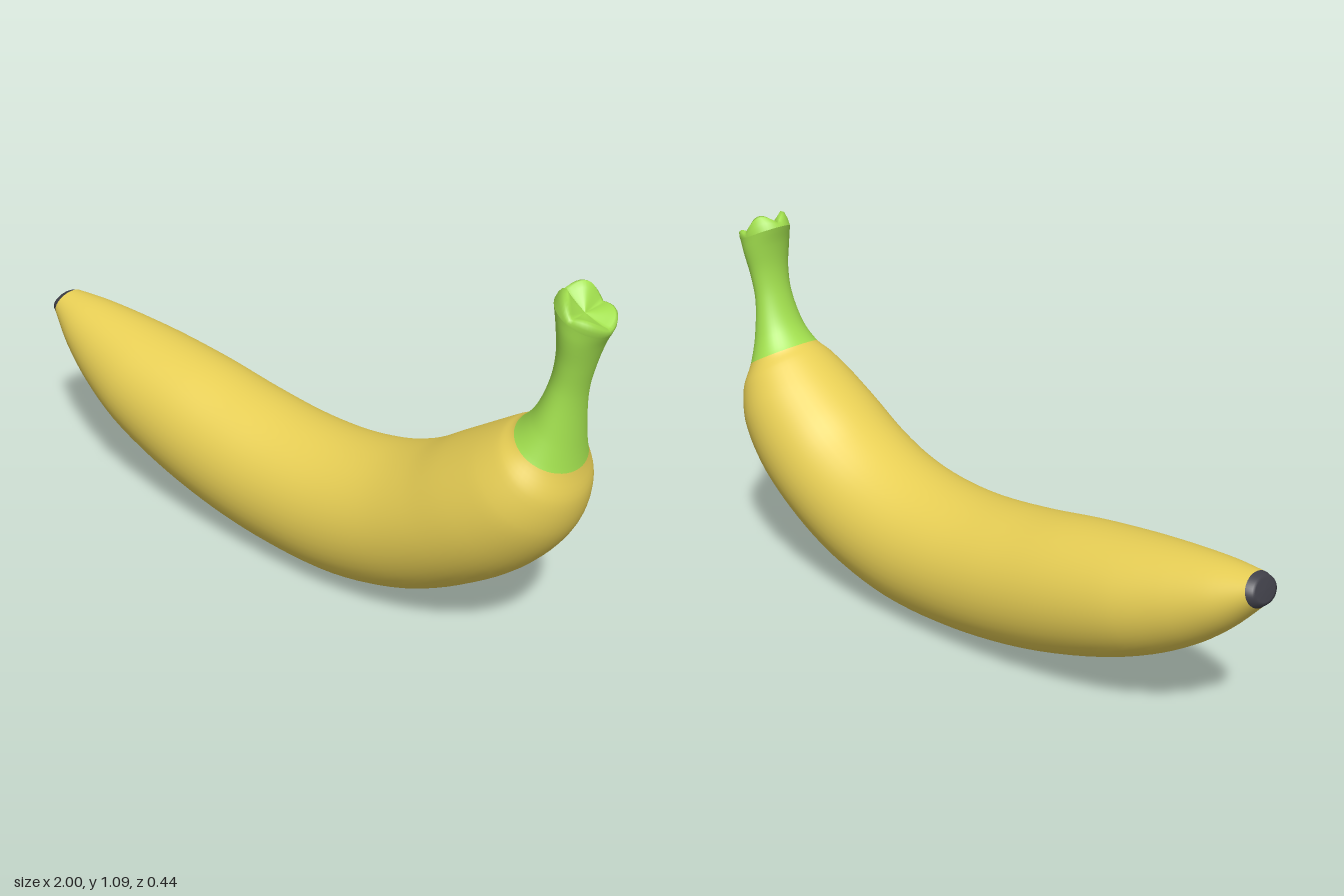
import * as THREE from 'three';

const SEG = 48; // points around each ring
const SUB = 5;  // rings between two stations

// Stations along the fruit: inner x, y, outer x, y, half width in z
const stations = [
  [-0.955, 0.525, -0.985, 0.437, 0.058],
  [-0.85, 0.523, -0.9, 0.345, 0.102],
  [-0.72, 0.513, -0.8, 0.262, 0.14],
  [-0.56, 0.495, -0.65, 0.175, 0.178],
  [-0.37, 0.47, -0.43, 0.09, 0.2],
  [-0.18, 0.437, -0.2, 0.033, 0.21],
  [0.02, 0.415, 0.02, 0.006, 0.214],
  [0.2, 0.42, 0.26, 0.008, 0.218],
  [0.35, 0.45, 0.5, 0.068, 0.22],
  [0.47, 0.5, 0.7, 0.175, 0.22],
  [0.57, 0.565, 0.84, 0.285, 0.212],
  [0.67, 0.63, 0.93, 0.405, 0.19],
  [0.74, 0.675, 0.957, 0.51, 0.155],
  [0.775, 0.695, 0.945, 0.6, 0.117], // peel ends, stem begins
  [0.82, 0.75, 0.94, 0.68, 0.086],
  [0.855, 0.84, 0.942, 0.8, 0.064],
  [0.867, 0.92, 0.958, 0.88, 0.065],
  [0.862, 1.0, 0.98, 0.95, 0.076],
  [0.85, 1.055, 0.997, 0.985, 0.078],
];
const STEM_START = 13;

// Elliptical ring spanning an inner and an outer point; lift moves a point along the axis
function ring([ix, iy, ox, oy, w], scale = 1, lift = () => 0) {
  const centre = new THREE.Vector3((ix + ox) / 2, (iy + oy) / 2, 0);
  const across = new THREE.Vector3((ix - ox) / 2, (iy - oy) / 2, 0);
  const axis = new THREE.Vector3(across.y, -across.x, 0).normalize();
  return Array.from({ length: SEG }, (_, j) => {
    const a = (j / SEG) * Math.PI * 2;
    const p = centre.clone().addScaledVector(across, Math.cos(a) * scale);
    p.z = Math.sin(a) * w * scale;
    return p.addScaledVector(axis, lift(a));
  });
}

// Skin a list of rings
function loft(rings) {
  const index = [];
  for (let i = 0; i < rings.length - 1; i++) {
    for (let j = 0; j < SEG; j++) {
      const a = i * SEG + j, b = i * SEG + (j + 1) % SEG;
      index.push(a, b, a + SEG, b, b + SEG, a + SEG);
    }
  }
  const geometry = new THREE.BufferGeometry().setFromPoints(rings.flat());
  geometry.setIndex(index);
  geometry.computeVertexNormals();
  return geometry;
}

// Part of a loft between two rings, keeping the shared smooth normals
function slice(geometry, from, to) {
  const part = geometry.clone();
  part.setIndex(Array.from(geometry.index.array.slice(from * SEG * 6, to * SEG * 6)));
  return part;
}

export function createModel() {
  const group = new THREE.Group();
  const add = (name, geometry, color) => {
    const mesh = new THREE.Mesh(geometry, new THREE.MeshStandardMaterial({ color }));
    mesh.name = name;
    group.add(mesh);
  };
  const yellow = 0xe8cf55, green = 0xa2e04e, dark = 0x3f3f48;

  // Smooth skin from tip to stem top
  const curve = (f) => new THREE.CatmullRomCurve3(stations.map(f));
  const inner = curve((s) => new THREE.Vector3(s[0], s[1], 0));
  const outer = curve((s) => new THREE.Vector3(s[2], s[3], 0));
  const width = curve((s, i) => new THREE.Vector3(i * 0.1, s[4], 0));
  const count = (stations.length - 1) * SUB;
  const rings = [];
  for (let i = 0; i <= count; i++) {
    const t = i / count;
    const p = inner.getPoint(t), q = outer.getPoint(t);
    rings.push(ring([p.x, p.y, q.x, q.y, width.getPoint(t).y]));
  }
  const skin = loft(rings);
  add('peel', slice(skin, 0, STEM_START * SUB), yellow);
  add('stem', slice(skin, STEM_START * SUB, count), green);

  // Dark blossom end with a nearly flat face
  const end = [-0.974, 0.519, -0.999, 0.45, 0.05];
  add('blossomTip', loft([
    ring(end, 0.001, () => -0.003),
    ring(end, 0.8, () => -0.002),
    ring(end),
    rings[0],
  ]), dark);

  // Cut stem top: four diagonal lobes around a sunken centre
  const top = stations[stations.length - 1];
  const lobes = (k, dip) => (a) =>
    k * Math.abs(Math.sin(2 * a)) * (0.025 + 0.012 * Math.cos(a)) + dip;
  add('stemCrown', loft([
    ring(top),
    ring(top, 1, lobes(0.5, 0.006)),
    ring(top, 0.95, lobes(0.9, 0.013)),
    ring(top, 0.84, lobes(1.05, 0.014)),
    ring(top, 0.68, lobes(0.85, 0.01)),
    ring(top, 0.35, lobes(0.4, 0.007)),
    ring(top, 0.001, () => 0.005),
  ]), green);

  return group;
}
